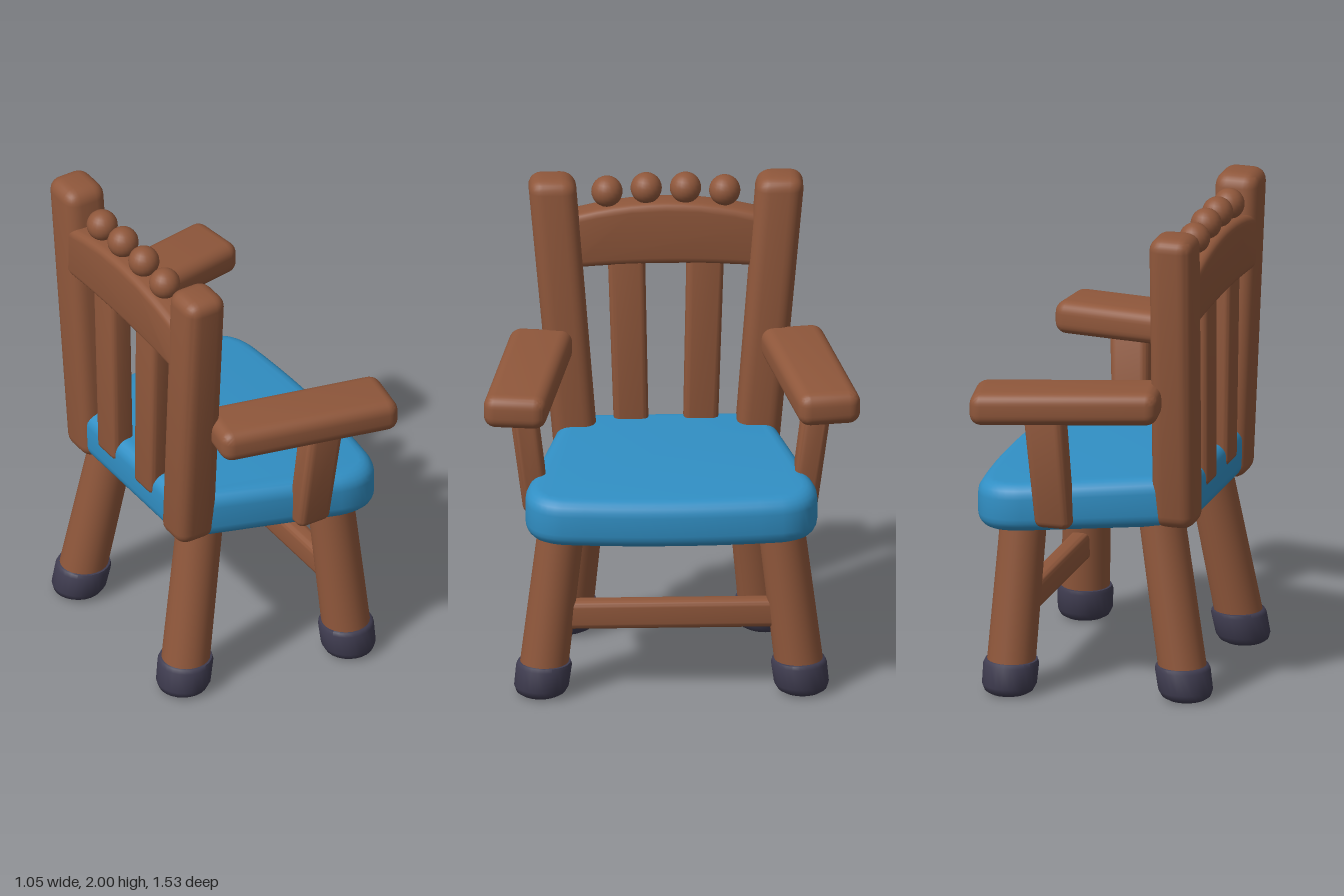
import * as THREE from 'three';
import { toCreasedNormals } from 'three/addons/utils/BufferGeometryUtils.js';
import { RoundedBoxGeometry } from 'three/addons/geometries/RoundedBoxGeometry.js';

const wood = new THREE.MeshStandardMaterial({ color: 0x8f573b });
wood.name = 'wood';
const blue = new THREE.MeshStandardMaterial({ color: 0x318fc4 });
blue.name = 'blueSeat';
const dark = new THREE.MeshStandardMaterial({ color: 0x3f3c50 });
dark.name = 'darkCaps';

// Move every vertex by a rule, then rebuild soft normals
function bend(geo, rule, crease = 0.8) {
  const p = geo.attributes.position;
  const v = new THREE.Vector3();
  for (let i = 0; i < p.count; i++) {
    rule(v.fromBufferAttribute(p, i));
    p.setXYZ(i, v.x, v.y, v.z);
  }
  return toCreasedNormals(geo, crease);
}

// Upright rounded bar between two points, horizontal ends, sized [x, z] at bottom and top
function upright(a, b, sizeA, sizeB, radius) {
  const h = b[1] - a[1];
  const geo = new RoundedBoxGeometry(sizeA[0], h, sizeA[1], 3, radius);
  return bend(geo, (v) => {
    const t = v.y / h + 0.5;
    v.x = v.x * THREE.MathUtils.lerp(1, sizeB[0] / sizeA[0], t) + THREE.MathUtils.lerp(a[0], b[0], t);
    v.z = v.z * THREE.MathUtils.lerp(1, sizeB[1] / sizeA[1], t) + THREE.MathUtils.lerp(a[2], b[2], t);
    v.y += (a[1] + b[1]) / 2;
  });
}

// Round profile turned about y and slanted along a leg line
function slanted(profile, foot, top, topY) {
  const geo = new THREE.LatheGeometry(profile.map((q) => new THREE.Vector2(...q)), 24);
  return bend(geo, (v) => {
    const t = v.y / topY;
    v.x += THREE.MathUtils.lerp(foot[0], top[0], t);
    v.z += THREE.MathUtils.lerp(foot[1], top[1], t);
  }, 1);
}

function seatGeometry() {
  // Plan: narrow at the back, wide and gently bowed at the front
  const s = new THREE.Shape();
  s.moveTo(-0.36, -0.43);
  s.lineTo(0.26, -0.59);
  s.bezierCurveTo(0.38, -0.61, 0.46, -0.57, 0.485, -0.45);
  s.quadraticCurveTo(0.535, 0, 0.485, 0.45);
  s.bezierCurveTo(0.46, 0.57, 0.38, 0.61, 0.26, 0.59);
  s.lineTo(-0.36, 0.43);
  s.quadraticCurveTo(-0.41, 0.41, -0.41, 0.36);
  s.lineTo(-0.41, -0.36);
  s.quadraticCurveTo(-0.41, -0.41, -0.36, -0.43);
  const geo = new THREE.ExtrudeGeometry(s, {
    depth: 0.88, bevelThickness: 0.06, bevelSize: 0.06, bevelOffset: -0.06, bevelSegments: 5, curveSegments: 10,
  });
  geo.rotateX(-Math.PI / 2);
  // Slope the faces toward the front; bevels keep their height
  return bend(geo, (v) => {
    const upper = v.y > 0.44;
    const t = (v.x + 0.41) / 0.92;
    v.y = upper
      ? v.y - 0.94 + THREE.MathUtils.lerp(0.95, 0.89, t)
      : v.y + 0.06 + THREE.MathUtils.lerp(0.735, 0.69, t);
  });
}

function railGeometry() {
  const s = new THREE.Shape();
  s.moveTo(-0.43, 1.6);
  s.quadraticCurveTo(0, 1.64, 0.43, 1.6);
  s.lineTo(0.43, 1.82);
  s.quadraticCurveTo(0, 1.95, -0.43, 1.82);
  s.closePath();
  const geo = new THREE.ExtrudeGeometry(s, {
    depth: 0.07, bevelThickness: 0.03, bevelSize: 0.03, bevelOffset: -0.03, bevelSegments: 4, curveSegments: 12,
  });
  geo.translate(0, 0, -0.035);
  geo.rotateY(Math.PI / 2);
  geo.translate(-0.375, 0, 0);
  return toCreasedNormals(geo, 0.8);
}

function armGeometry(side) {
  const len = 0.76;
  const geo = new RoundedBoxGeometry(len, 0.14, 0.255, 4, 0.05);
  return bend(geo, (v) => {
    const t = v.x / len + 0.5;
    v.x += 0.07 - side * v.z * 0.15;
    v.y += THREE.MathUtils.lerp(1.292, 1.267, t);
    v.z += side * THREE.MathUtils.lerp(0.505, 0.648, t);
  });
}

export function createModel() {
  const group = new THREE.Group();
  const chair = new THREE.Group();
  chair.name = 'chair';
  group.add(chair);
  const add = (name, geo, mat) => {
    const m = new THREE.Mesh(geo, mat);
    m.name = name;
    chair.add(m);
    return m;
  };

  add('seat', seatGeometry(), blue);
  add('topRail', railGeometry(), wood);

  const legTop = 0.78;
  const legProfile = [[0, 0.1], [0.1, 0.1], [0.095, legTop], [0, legTop]];
  const footProfile = [[0, 0.005], [0.08, 0.008], [0.1, 0.02], [0.112, 0.045], [0.114, 0.13], [0.108, 0.145], [0.09, 0.148], [0, 0.148]];

  for (const side of [-1, 1]) {
    // Legs with dark end caps
    const legs = [
      ['front', [0.331, 0.535 * side], [0.29, 0.44 * side]],
      ['back', [-0.39, 0.405 * side], [-0.255, 0.33 * side]],
    ];
    for (const [name, foot, top] of legs) {
      add(name + 'Leg', slanted(legProfile, foot, top, legTop), wood);
      add(name + 'Foot', slanted(footProfile, foot, top, legTop), dark);
    }

    // Back posts, slats, arms and arm supports
    add('backPost', upright([-0.335, 0.73, 0.36 * side], [-0.355, 2, 0.467 * side], [0.18, 0.18], [0.185, 0.195], 0.055), wood);
    add('backSlat', upright([-0.37, 0.85, 0.14 * side], [-0.375, 1.7, 0.162 * side], [0.1, 0.14], [0.1, 0.152], 0.025), wood);
    add('arm', armGeometry(side), wood);
    add('armSupport', upright([0.13, 0.735, 0.542 * side], [0.155, 1.25, 0.607 * side], [0.15, 0.11], [0.165, 0.115], 0.03), wood);

    // Ball ornaments on the rail
    for (const [z, y] of [[0.08, 1.935], [0.24, 1.922]]) {
      add('railBall', new THREE.SphereGeometry(0.064, 20, 14), wood).position.set(-0.372, y, z * side);
    }
  }

  // Stretcher between the front legs
  const stretcher = add('stretcher', toCreasedNormals(new RoundedBoxGeometry(0.08, 0.12, 0.94, 3, 0.025), 0.8), wood);
  stretcher.position.set(0.312, 0.345, 0);

  // The chair stands turned slightly
  const turn = 0.08;
  chair.rotation.y = turn;
  chair.position.set(0.017 * Math.sin(turn), 0, 0.017 * Math.cos(turn));
  return group;
}
